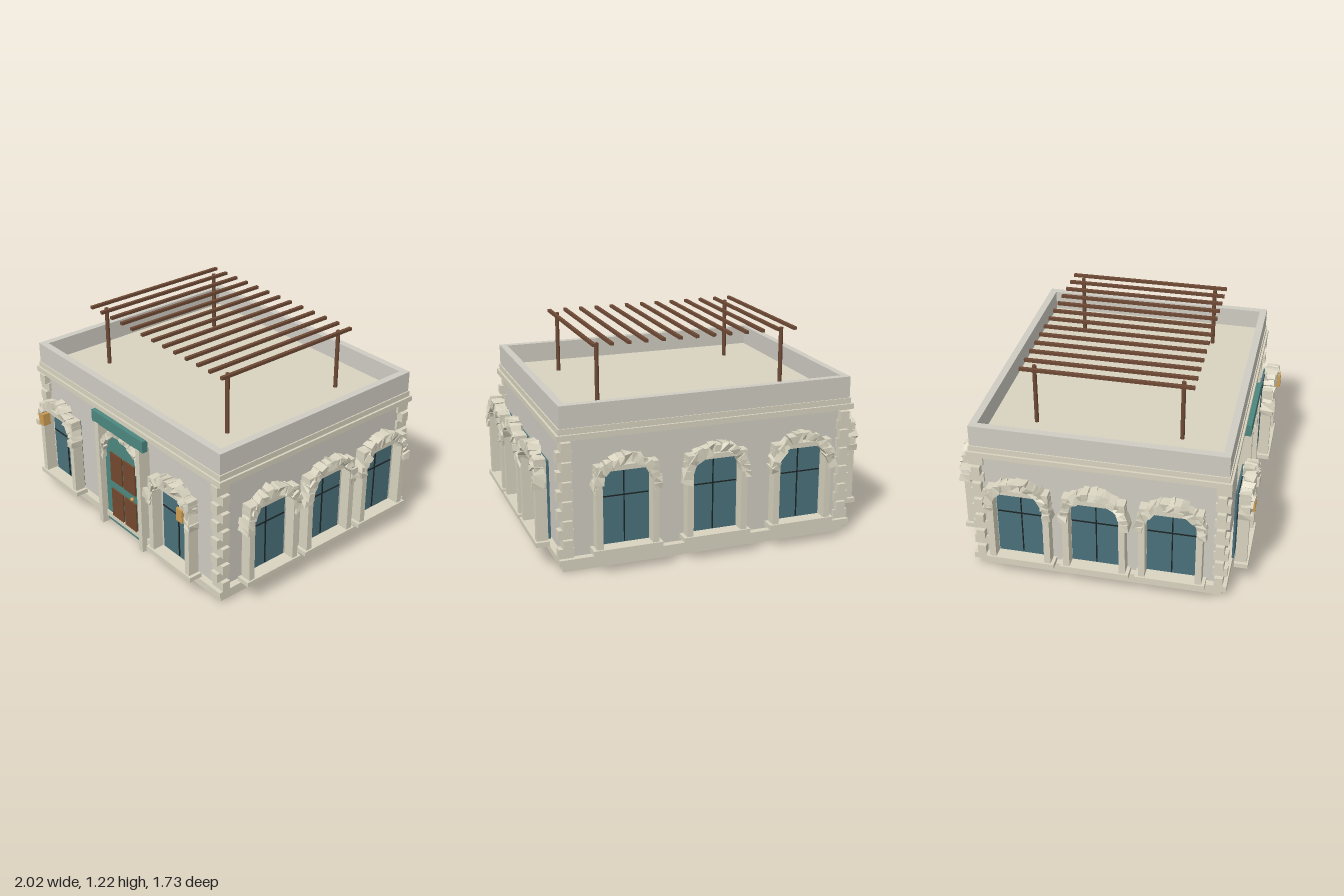
import * as THREE from 'three';

const mat = (color, extra = {}) => new THREE.MeshStandardMaterial({ color, ...extra });
const M = {
  wall: mat(0xcfccc2), trim: mat(0xd9d4c0), stone: mat(0xd9d4c0, { flatShading: true }),
  glass: mat(0x4a717a), iron: mat(0x1c2426), teal: mat(0x4c877f),
  wood: mat(0x6e4a35), panel: mat(0x74492f), lamp: mat(0xcfa055),
};

// Small seeded generator for the rough stones
let seed = 7;
const rnd = () => {
  seed = (seed * 16807) % 2147483647;
  return seed / 2147483647;
};

function add(parent, name, geo, material, x = 0, y = 0, z = 0) {
  const m = new THREE.Mesh(geo, material);
  m.name = name;
  m.position.set(x, y, z);
  parent.add(m);
  return m;
}

// Box given by its min and max on each axis
function box(parent, name, material, x0, x1, y0, y1, z0, z1) {
  return add(parent, name, new THREE.BoxGeometry(x1 - x0, y1 - y0, z1 - z0), material,
    (x0 + x1) / 2, (y0 + y1) / 2, (z0 + z1) / 2);
}

// Box with its eight corners shifted at random
function roughStone(w, h, d) {
  const geo = new THREE.BoxGeometry(w, h, d).toNonIndexed();
  const p = geo.attributes.position;
  const shift = Array.from({ length: 8 }, () => [rnd() - 0.5, rnd() - 0.5, rnd() - 0.5]);
  for (let i = 0; i < p.count; i++) {
    const s = shift[(p.getX(i) > 0 ? 1 : 0) + (p.getY(i) > 0 ? 2 : 0) + (p.getZ(i) > 0 ? 4 : 0)];
    p.setXYZ(i, p.getX(i) + s[0] * w * 0.5, p.getY(i) + s[1] * h * 0.35, p.getZ(i) + s[2] * d * 0.35);
  }
  geo.computeVertexNormals();
  return geo;
}

// Half ring of rough voussoirs
function stoneArch(parent, radius, cy, cz, width, depth, count) {
  const arch = new THREE.Group();
  arch.name = 'stoneArch';
  for (let i = 0; i < count; i++) {
    const a = Math.PI * i / (count - 1);
    const len = Math.PI * radius / (count - 1) * 1.25;
    const r = radius + (rnd() - 0.5) * 0.012;
    const s = add(arch, 'archStone', roughStone(len, width, depth), M.stone,
      Math.cos(a) * r, cy + Math.sin(a) * r, cz + (rnd() - 0.5) * 0.012);
    s.rotation.z = a - Math.PI / 2 + (rnd() - 0.5) * 0.25;
  }
  parent.add(arch);
}

// Window facing +z, back of its frame on z = 0
function makeWindow() {
  const g = new THREE.Group();
  g.name = 'window';
  box(g, 'windowGlass', M.glass, -0.145, 0.145, 0.15, 0.61, -0.02, -0.008);
  box(g, 'verticalBar', M.iron, -0.003, 0.003, 0.16, 0.605, -0.012, -0.002);
  box(g, 'horizontalBar', M.iron, -0.14, 0.14, 0.432, 0.438, -0.012, -0.002);
  box(g, 'windowSill', M.trim, -0.2, 0.2, 0.13, 0.158, 0, 0.08);
  box(g, 'windowLintel', M.trim, -0.178, 0.178, 0.605, 0.635, 0.004, 0.07);
  for (const s of [-1, 1]) {
    const jamb = box(g, 'windowJamb', M.trim, 0.143, 0.18, 0.158, 0.605, 0.004, 0.07);
    jamb.position.x *= s;
  }
  stoneArch(g, 0.176, 0.492, 0.045, 0.046, 0.068, 17);
  return g;
}

function makeDoor() {
  const g = new THREE.Group();
  g.name = 'door';
  // Leaf with a round head
  const leaf = new THREE.Shape();
  leaf.moveTo(-0.182, 0.02).lineTo(0.182, 0.02).lineTo(0.182, 0.5);
  leaf.absarc(0, 0.5, 0.182, 0, Math.PI, false);
  leaf.closePath();
  add(g, 'doorLeaf', new THREE.ExtrudeGeometry(leaf, { depth: 0.035, bevelEnabled: false, curveSegments: 24 }),
    M.teal, 0, 0, 0.7);
  for (const s of [-1, 1]) {
    for (const y of [0.075, 0.33]) {
      const p = box(g, 'doorPanel', M.panel, 0.008, 0.122, y, y + 0.197, 0.73, 0.744);
      p.position.x *= s;
    }
    const jamb = box(g, 'doorJamb', M.trim, 0.185, 0.22, 0, 0.7, 0.69, 0.775);
    jamb.position.x *= s;
  }
  add(g, 'doorKnob', new THREE.SphereGeometry(0.012, 12, 8), M.lamp, 0.095, 0.3, 0.748);
  box(g, 'signBoard', M.teal, -0.25, 0.25, 0.697, 0.77, 0.735, 0.772);
  stoneArch(g, 0.185, 0.5, 0.735, 0.035, 0.06, 17);
  return g;
}

export function createModel() {
  seed = 7;
  const root = new THREE.Group();
  root.name = 'stoneHouse';
  const building = new THREE.Group();
  building.name = 'building';
  building.position.z = -0.005;
  root.add(building);

  // Walls, plinth, cornice and roof as centred slabs: half x, half z, bottom, top
  const slab = (name, m, hx, hz, y0, y1) => box(building, name, m, -hx, hx, y0, y1, -hz, hz);
  slab('lowerPlinth', M.trim, 0.866, 0.72, 0, 0.05);
  slab('upperPlinth', M.trim, 0.89, 0.748, 0.045, 0.082);
  slab('walls', M.wall, 0.85, 0.708, 0.05, 0.78);
  slab('lowerCornice', M.trim, 0.89, 0.748, 0.767, 0.8);
  slab('upperCornice', M.trim, 0.877, 0.736, 0.8, 0.833);
  slab('roofDeck', M.trim, 0.84, 0.7, 0.8, 0.84);

  // Parapet ring
  const rect = (path, x, z) => path.moveTo(-x, -z).lineTo(x, -z).lineTo(x, z).lineTo(-x, z).closePath();
  const ring = rect(new THREE.Shape(), 0.87, 0.73);
  ring.holes.push(rect(new THREE.Path(), 0.827, 0.687));
  const parapet = add(building, 'parapet',
    new THREE.ExtrudeGeometry(ring, { depth: 0.13, bevelEnabled: false }), M.wall, 0, 0.83, 0);
  parapet.rotation.x = -Math.PI / 2;

  // Corner quoins, long side alternating between the two walls
  const pitch = 0.0562;
  for (const sx of [-1, 1]) {
    for (const sz of [-1, 1]) {
      for (let i = 0; i < 12; i++) {
        const long = i % 2 === 0;
        const ox = long ? 0.89 : 0.865, oz = long ? 0.725 : 0.746;
        const w = long ? 0.09 : 0.055, d = long ? 0.05 : 0.085;
        add(building, 'quoin', new THREE.BoxGeometry(w, pitch, d), M.trim,
          sx * (ox - w / 2), 0.082 + pitch * (i + 0.5), sz * (oz - d / 2));
      }
    }
  }

  // Windows on all four sides
  const placeWindow = (x, z, angle) => {
    const w = makeWindow();
    w.position.set(x, 0, z);
    w.rotation.y = angle;
    root.add(w);
  };
  for (const x of [-0.56, 0.557]) placeWindow(x, 0.765, 0);
  for (const x of [-0.525, 0, 0.525]) placeWindow(x, -0.78, Math.PI);
  for (const z of [-0.44, -0.005, 0.43]) {
    placeWindow(0.914, z, Math.PI / 2);
    placeWindow(-0.914, z, -Math.PI / 2);
  }

  root.add(makeDoor());

  // Wall lamps beside the front windows
  for (const s of [-1, 1]) {
    const lamp = box(root, 'wallLamp', M.lamp, 0.663, 0.713, 0.505, 0.585, 0.81, 0.86);
    lamp.position.x *= s;
  }

  // Roof pergola
  const pergola = new THREE.Group();
  pergola.name = 'pergola';
  for (const x of [-0.565, 0.565]) {
    for (const z of [-0.43, 0.415]) {
      add(pergola, 'pergolaPost', new THREE.CylinderGeometry(0.0125, 0.0125, 0.375, 12), M.wood, x, 1.0225, z);
    }
  }
  for (let i = 0; i < 13; i++) {
    add(pergola, 'pergolaSlat', new THREE.BoxGeometry(0.02, 0.018, 0.985), M.wood,
      -0.622 + i * 0.1015, 1.213, -0.007);
  }
  root.add(pergola);
  return root;
}
